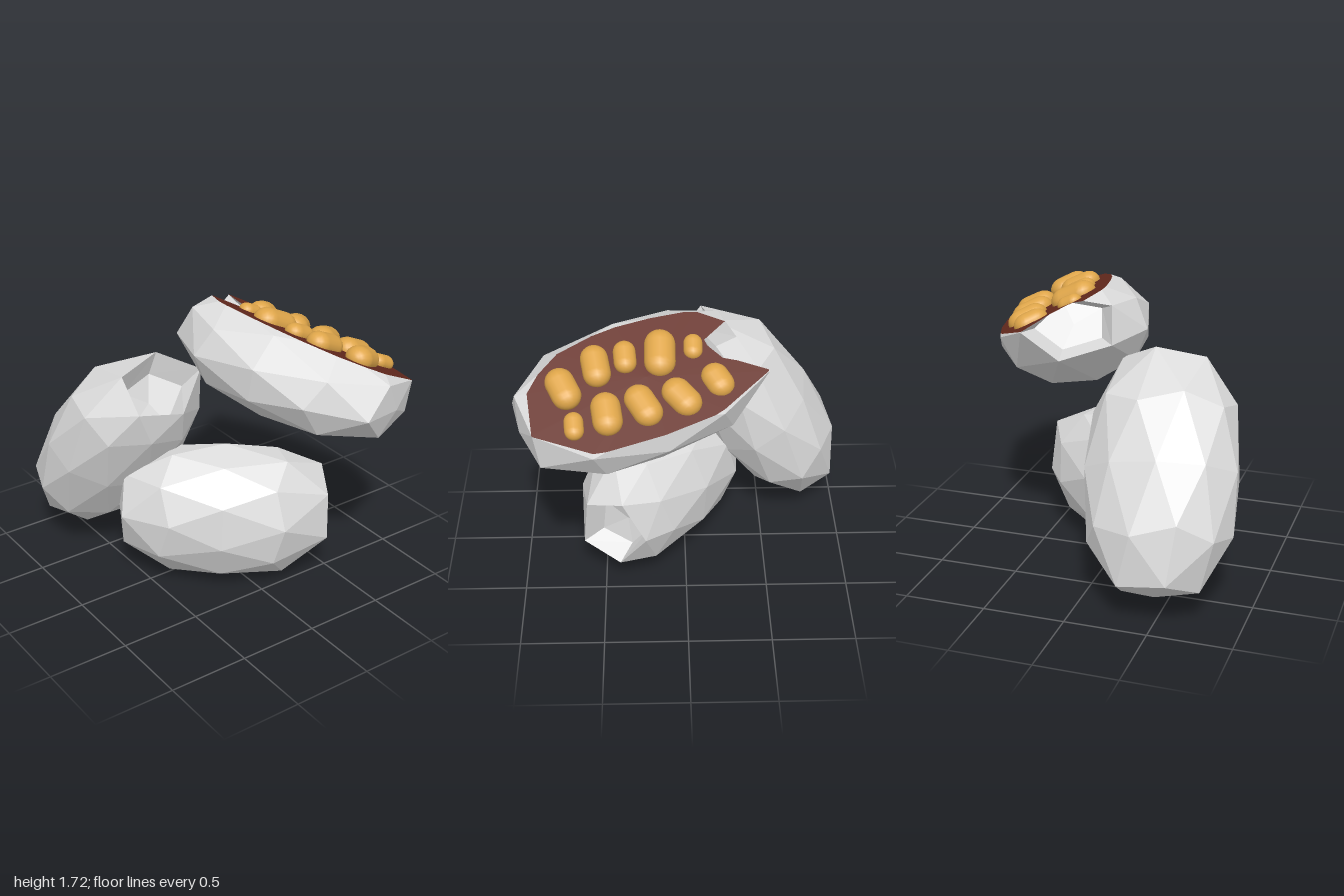
import * as THREE from 'three';

const V = (x, y, z) => new THREE.Vector3(x, y, z);

// Unit pod: faceted ball with its open mouth at +y; returns a list of triangles
function podTriangles(roll) {
  const ball = new THREE.IcosahedronGeometry(1, 1);
  ball.rotateZ(-Math.atan(2 / (1 + Math.sqrt(5)))); // one corner points up
  const pos = ball.attributes.position;
  const mouthZ = 0.2; // the mouth sits a little off the axis
  const shape = (v) => {
    const r = Math.hypot(v.x, v.z);
    const rim = v.y > 0.8 && v.y < 0.95;
    const peak = rim && v.x > 0.45; // one rim corner sticks out
    const k = Math.pow(Math.pow(r, 2.4) + Math.pow(Math.abs(v.y), 2.4), -1 / 2.4);
    const out = v.clone().multiplyScalar(k);
    if (v.y < -0.95) out.y = -0.94;
    if (peak) { out.x *= 1.12; out.y *= 1.08; }
    out.applyAxisAngle(V(0, 1, 0), roll);
    if (rim) out.set(out.x * 1.03, out.y * 0.96 - 0.18 * out.z, out.z + mouthZ);
    return out;
  };
  const tris = [];
  for (let i = 0; i < pos.count; i += 3) {
    const c = [0, 1, 2].map((j) => new THREE.Vector3().fromBufferAttribute(pos, i + j));
    const top = c.findIndex((v) => v.y > 0.99);
    if (top < 0) { tris.push(c.map(shape)); continue; }
    // Mouth: sunken walls and floor instead of the end cap
    const a = shape(c[(top + 1) % 3]), b = shape(c[(top + 2) % 3]);
    const inner = (v) => V(v.x * 0.75, v.y - 0.2, mouthZ + (v.z - mouthZ) * 0.75);
    const ia = inner(a), ib = inner(b);
    tris.push([a, b, ib], [a, ib, ia], [ia, ib, V(0, 0.63, mouthZ)]);
  }
  return tris;
}

function geometryFrom(tris) {
  const g = new THREE.BufferGeometry().setFromPoints(tris.flat());
  g.computeVertexNormals();
  return g;
}

// Places a unit pod: size = [wide, long, thin] half lengths
function placedPod({ center, axis, wide, size, roll }) {
  const y = axis.clone().normalize();
  const z = wide.clone().cross(y).normalize();
  const x = y.clone().cross(z);
  const m = new THREE.Matrix4().makeBasis(x, y, z).scale(V(...size)).setPosition(center);
  return podTriangles(roll).map((t) => t.map((v) => v.clone().applyMatrix4(m)));
}

// Keeps what lies below the plane; also returns the flat cut face
function clip(tris, plane) {
  const kept = [], cuts = [];
  for (const t of tris) {
    const poly = [], cut = [];
    t.forEach((a, i) => {
      const b = t[(i + 1) % 3];
      const da = plane.distanceToPoint(a), db = plane.distanceToPoint(b);
      if (da <= 0) poly.push(a);
      if ((da <= 0) !== (db <= 0)) {
        const p = a.clone().lerp(b, da / (da - db));
        poly.push(p);
        cut.push(p);
      }
    });
    for (let i = 2; i < poly.length; i++) kept.push([poly[0], poly[i - 1], poly[i]]);
    if (cut.length === 2) cuts.push(cut);
  }
  const mid = V(0, 0, 0);
  cuts.flat().forEach((p) => mid.addScaledVector(p, 0.5 / cuts.length));
  const cap = cuts.map(([a, b]) => {
    const n = a.clone().sub(mid).cross(b.clone().sub(mid));
    return n.dot(plane.normal) > 0 ? [mid, a, b] : [mid, b, a];
  });
  return { kept, cap };
}

export function createModel() {
  const model = new THREE.Group();
  const mat = (name, color, flatShading) => {
    const m = new THREE.MeshStandardMaterial({ color, flatShading, side: THREE.DoubleSide });
    m.name = name;
    return m;
  };
  const shellMat = mat('paleShell', 0xdcdcdc, true);
  const fillMat = mat('darkFilling', 0x64291d, true);
  const nutMat = mat('goldenNut', 0xdfa64a, false);
  const add = (name, geometry, material, parent = model) => {
    const mesh = new THREE.Mesh(geometry, material);
    mesh.name = name;
    parent.add(mesh);
    return mesh;
  };

  // Two whole pods
  add('frontPod', geometryFrom(placedPod({
    center: V(-0.05, 0.44, 0.155), axis: V(0.8, -0.03, 0.6), wide: V(0, 1, 0),
    size: [0.44, 0.69, 0.37], roll: -0.44,
  })), shellMat);
  add('rearPod', geometryFrom(placedPod({
    center: V(-0.43, 0.78, -0.48), axis: V(0.1, 0.83, 0.54), wide: V(1, 0, 0),
    size: [0.47, 0.765, 0.36], roll: 0.1,
  })), shellMat);

  // Sliced pod with its filling
  const u = V(0.898, -0.44, 0), n = V(0.44, 0.898, 0);
  const origin = V(0, 1.765, 0);
  const plane = new THREE.Plane().setFromNormalAndCoplanarPoint(n.clone().normalize(), origin);
  const { kept, cap } = clip(placedPod({
    center: V(0.37, 1.385, 0.28), axis: V(-0.33, 0.16, -0.92), wide: V(0.984, -0.175, 0),
    size: [0.49, 0.77, 0.34], roll: -0.1,
  }), plane);
  add('slicedPod', geometryFrom(kept), shellMat);
  add('filling', geometryFrom(cap), fillMat);

  // Nuts on the cut face: x, z, length, radius, turn in degrees
  const nuts = new THREE.Group();
  nuts.name = 'nuts';
  nuts.applyMatrix4(new THREE.Matrix4().makeBasis(u, n, V(0, 0, 1)).setPosition(origin));
  model.add(nuts);
  [
    [0.49, -0.175, 0.22, 0.08, 30], [0.29, -0.04, 0.16, 0.055, 0],
    [0.59, 0.03, 0.26, 0.085, 40], [0.33, 0.15, 0.3, 0.09, 0],
    [0.64, 0.245, 0.27, 0.085, 30], [0.355, 0.35, 0.205, 0.065, 5],
    [0.41, 0.515, 0.265, 0.08, 10], [0.69, 0.45, 0.265, 0.085, 8],
    [0.545, 0.695, 0.265, 0.085, 25], [0.76, 0.63, 0.17, 0.055, 5],
  ].forEach(([x, z, length, r, turn]) => {
    const g = new THREE.CapsuleGeometry(r, length - 2 * r, 6, 16).rotateZ(Math.PI / 2);
    const nut = add('nut', g, nutMat, nuts);
    nut.position.set(x / 0.898, 0.03 * z, z);
    nut.rotation.y = THREE.MathUtils.degToRad(turn);
    nut.scale.y = 0.85;
  });
  return model;
}
